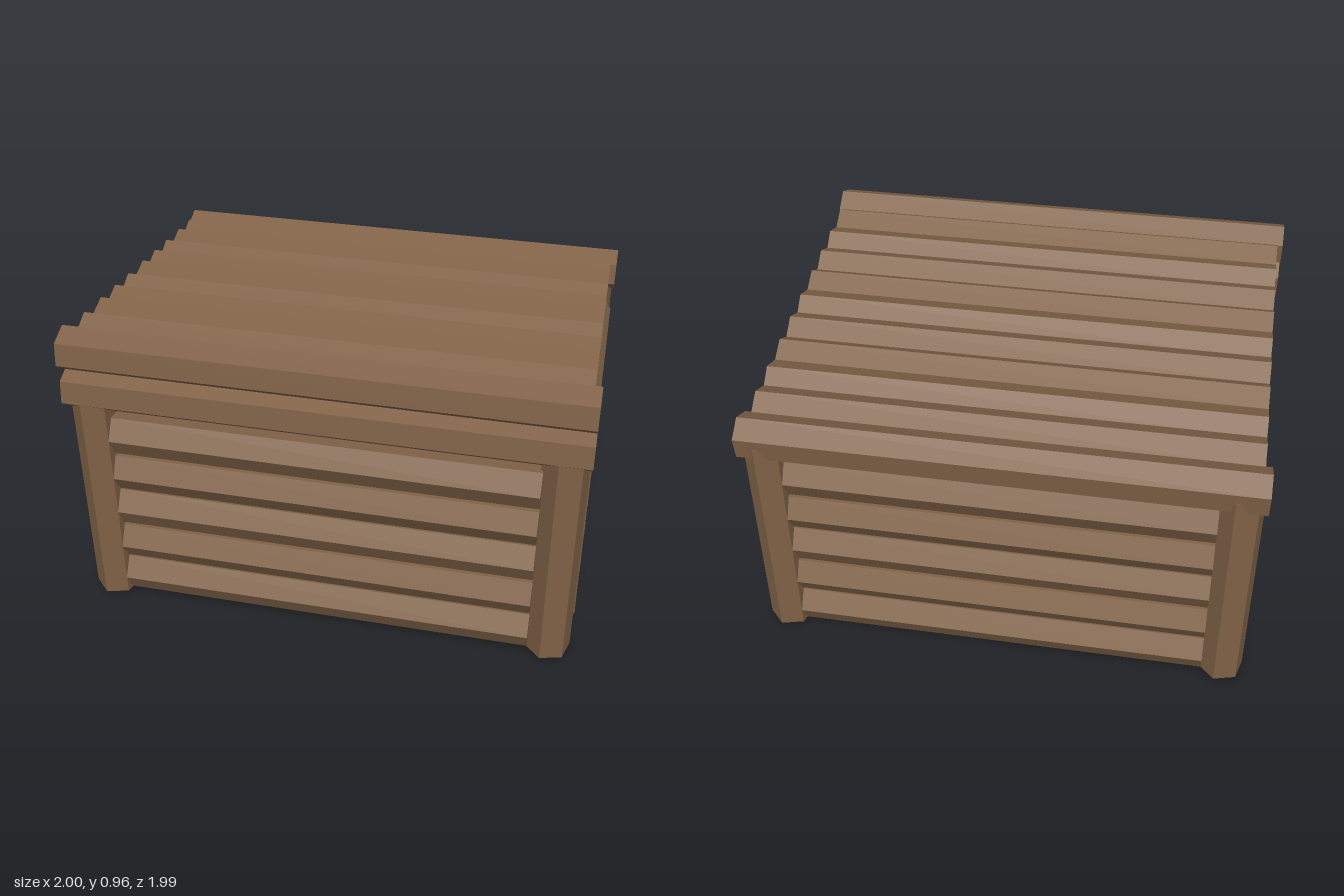
import * as THREE from 'three';

export function createModel() {
  const model = new THREE.Group();
  model.name = 'logCabin';
  const cabin = new THREE.Group();
  cabin.name = 'cabin';
  cabin.rotation.y = -0.758; // the cabin stands cornerwise
  model.add(cabin);

  const wood = new THREE.MeshStandardMaterial({ color: 0x7f6146, flatShading: true });
  wood.name = 'brownWood';
  const deg = Math.PI / 180;

  function add(name, geometry, x = 0, y = 0, z = 0) {
    const mesh = new THREE.Mesh(geometry, wood);
    mesh.name = name;
    mesh.position.set(x, y, z);
    cabin.add(mesh);
    return mesh;
  }

  // Six-sided log along the given axis; roll turns its cross-section
  function log(name, axis, length, r, roll, x, y, z) {
    const g = new THREE.CylinderGeometry(r, r, length, 6);
    g.rotateY(roll * deg);
    if (axis === 'x') g.rotateZ(-Math.PI / 2);
    if (axis === 'z') g.rotateX(Math.PI / 2);
    return add(name, g, x, y, z);
  }

  const X = 0.7, Z = 0.567, R = 0.072;

  // Corner posts
  for (const sx of [-1, 1]) {
    for (const sz of [-1, 1]) {
      log('cornerPost', 'y', 0.725, 0.07, 45, sx * X, 0.3775, sz * Z);
    }
  }

  // Long side walls and the closed end wall
  for (let i = 0; i < 5; i++) {
    const y = 0.09 + i * 0.1325;
    const roll = i % 2 ? 2 : -2;
    log('tallSideLog', 'x', 1.28, R, roll, 0, y, Z);
    log('lowSideLog', 'x', 1.28, R, -roll, 0, y, -Z);
    log('endWallLog', 'z', 1.0, R, 30, -X, 0.0625 + i * 0.137, 0);
  }

  // Door wall: full logs above, cut logs either side of the doorway
  for (const y of [0.4, 0.512, 0.625]) log('doorWallLog', 'z', 1.0, R, 30, X, y, 0);
  for (const y of [0.1, 0.264]) {
    for (const [a, b] of [[-0.5, -0.12], [0.137, 0.5]]) {
      const cut = log('doorSideLog', 'z', b - a, R, 30, X, y, (a + b) / 2);
      cut.scale.y = 1.3;
    }
  }

  // Floor
  add('floor', new THREE.BoxGeometry(1.4, 0.012, 1.13), 0, 0.026, 0);

  // Sloping panels between the end walls and the roof
  const panel = new THREE.Shape([
    [-0.57, 0.66], [0.57, 0.66], [0.57, 0.74], [-0.57, 0.88],
  ].map(([s, y]) => new THREE.Vector2(s, y)));
  const panelGeometry = new THREE.ExtrudeGeometry(panel, { depth: 0.06, bevelEnabled: false });
  panelGeometry.rotateY(Math.PI / 2);
  add('gablePanel', panelGeometry, 0.67);
  add('gablePanel', panelGeometry, -0.73);

  // Beam under the high edge of the roof
  log('roofBeam', 'x', 1.55, 0.07, -38, 0, 0.765, 0.57);

  // Roof logs stepping down from the high edge to the low edge
  const count = 11;
  for (let i = 0; i < count; i++) {
    const t = i / (count - 1);
    const edge = i === 0 || i === count - 1;
    const roll = -38 + (edge ? 0 : [0, 5, -4][i % 3]);
    log('roofLog', 'x', edge ? 1.55 : 1.51, 0.07, roll, 0, 0.893 - 0.148 * t, 0.57 - 1.14 * t);
  }

  return model;
}
